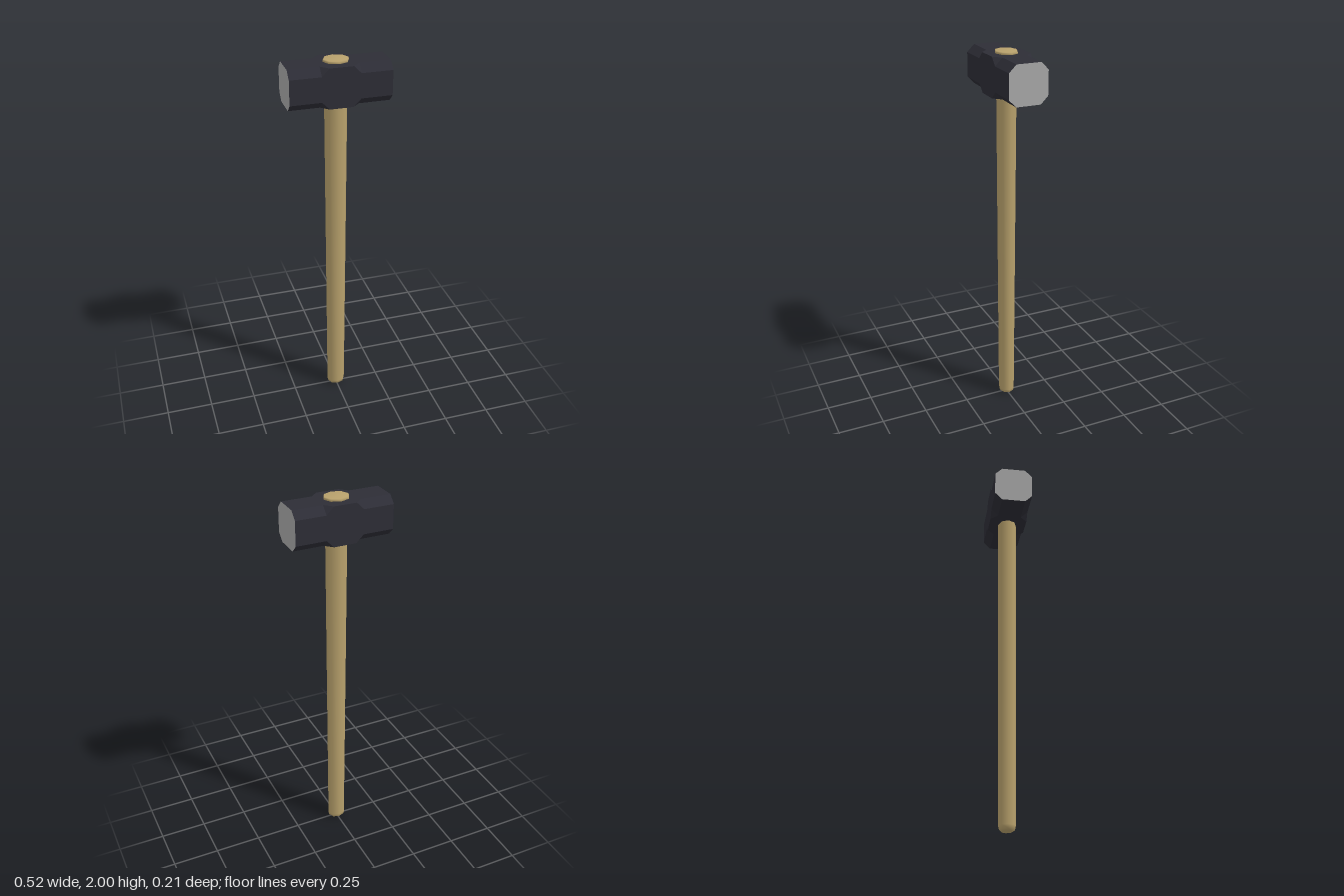
import * as THREE from 'three';

const iron = new THREE.MeshStandardMaterial({ color: 0x2d2d36 });
iron.name = 'dark iron';
const steel = new THREE.MeshStandardMaterial({ color: 0xa9a9a9 });
steel.name = 'bare steel';
const wood = new THREE.MeshStandardMaterial({ color: 0xb8a16c });
wood.name = 'wood';

const HEAD_Y = 1.882, HALF_H = 0.103, HALF_D = 0.104;

// Square section with chamfered corners, counter-clockwise seen from +x
function section(x, chamfer) {
  const points = [];
  const corners = [[1, 1], [-1, 1], [-1, -1], [1, -1]];
  corners.forEach(([sy, sz], i) => {
    const alongZ = new THREE.Vector3(x, sy * HALF_H, sz * (HALF_D - chamfer));
    const alongY = new THREE.Vector3(x, sy * (HALF_H - chamfer), sz * HALF_D);
    points.push(...(i % 2 === 0 ? [alongZ, alongY] : [alongY, alongZ]));
  });
  return points;
}

// Separate triangles with flat normals, leaving out collapsed ones
function flatGeometry(triangles) {
  const solid = triangles.filter((t) => new THREE.Triangle(...t).getArea() > 1e-8);
  const geometry = new THREE.BufferGeometry().setFromPoints(solid.flat());
  geometry.computeVertexNormals();
  return geometry;
}

function addMesh(group, name, geometry, material) {
  const mesh = new THREE.Mesh(geometry, material);
  mesh.name = name;
  group.add(mesh);
  return mesh;
}

function createHead() {
  const head = new THREE.Group();
  head.name = 'head';
  head.position.y = HEAD_Y;

  // Body: chamfered ends that run out into a square middle
  const c = 0.039;
  const rings = [[-0.26, c], [-0.099, c], [-0.06, 0], [0.06, 0], [0.099, c], [0.26, c]]
    .map(([x, chamfer]) => section(x, chamfer));
  const sides = [];
  for (let i = 0; i < rings.length - 1; i++) {
    const a = rings[i], b = rings[i + 1];
    for (let j = 0; j < 8; j++) {
      const k = (j + 1) % 8;
      sides.push([a[j], a[k], b[k]], [a[j], b[k], b[j]]);
    }
  }
  addMesh(head, 'headBody', flatGeometry(sides), iron);

  // Striking faces close the two ends
  const fan = [];
  const end = rings[rings.length - 1];
  for (let j = 1; j < 7; j++) fan.push([end[0], end[j], end[j + 1]]);
  const face = flatGeometry(fan);
  addMesh(head, 'leftStrikingFace', face, steel);
  addMesh(head, 'rightStrikingFace', face, steel).rotation.y = Math.PI;
  return head;
}

// Eight-sided oval handle, widening toward the head and passing through it
function createHandle(group) {
  const profile = [
    [0, 0], [0.034, 0.002], [0.046, 0.011], [0.051, 0.03],
    [0.06, 1.78], [0.061, 1.97], [0.067, 1.985], [0.067, 1.992], [0.064, 1.998], [0, 2],
  ].map(([r, y]) => new THREE.Vector2(r, y));
  const geometry = new THREE.LatheGeometry(profile, 8);
  geometry.scale(1, 1, 0.87);
  addMesh(group, 'handle', geometry, wood);
}

export function createModel() {
  const model = new THREE.Group();
  model.name = 'sledgehammer';
  createHandle(model);
  model.add(createHead());
  return model;
}
